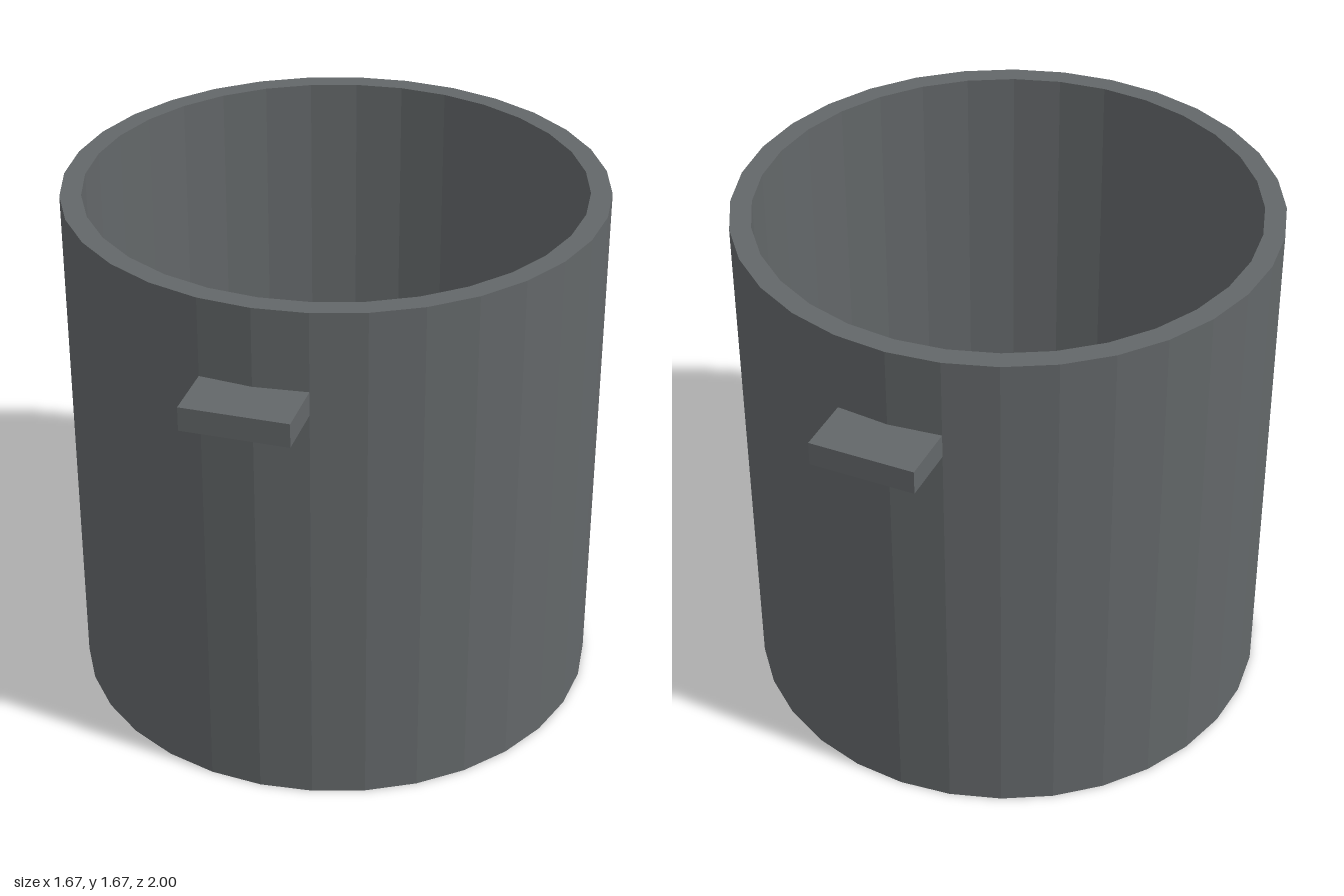
import * as THREE from 'three';

const SIDES = 32;
const OUTER = 0.835, INNER = 0.77, HEIGHT = 1.675;

// Gives every facet its own normal
function faceted(geometry) {
  const flat = geometry.toNonIndexed();
  flat.computeVertexNormals();
  return flat;
}

export function createModel() {
  const model = new THREE.Group();
  model.name = 'pot';

  const metal = new THREE.MeshStandardMaterial({ color: 0x636769 });
  metal.name = 'dark grey metal';

  // Open pot with a recessed underside, from underside centre to inside floor centre
  const profile = [
    [0, 0.07], [INNER, 0.07], [INNER, 0], [OUTER, 0],
    [OUTER, HEIGHT], [INNER, HEIGHT], [INNER, 0.13], [0, 0.13],
  ].map(([r, y]) => new THREE.Vector2(r, y));
  const body = new THREE.Mesh(faceted(new THREE.LatheGeometry(profile, SIDES)), metal);
  body.name = 'body';
  model.add(body);

  // Two block handles, front and back, each two facets wide
  const width = 2 * OUTER * Math.sin((2 * Math.PI) / SIDES);
  const start = 0.805, end = 1;
  for (const side of [1, -1]) {
    const handle = new THREE.Mesh(new THREE.BoxGeometry(width, 0.075, end - start), metal);
    handle.name = side > 0 ? 'frontHandle' : 'backHandle';
    handle.position.set(0, 1.388, (side * (start + end)) / 2);
    model.add(handle);
  }

  return model;
}
